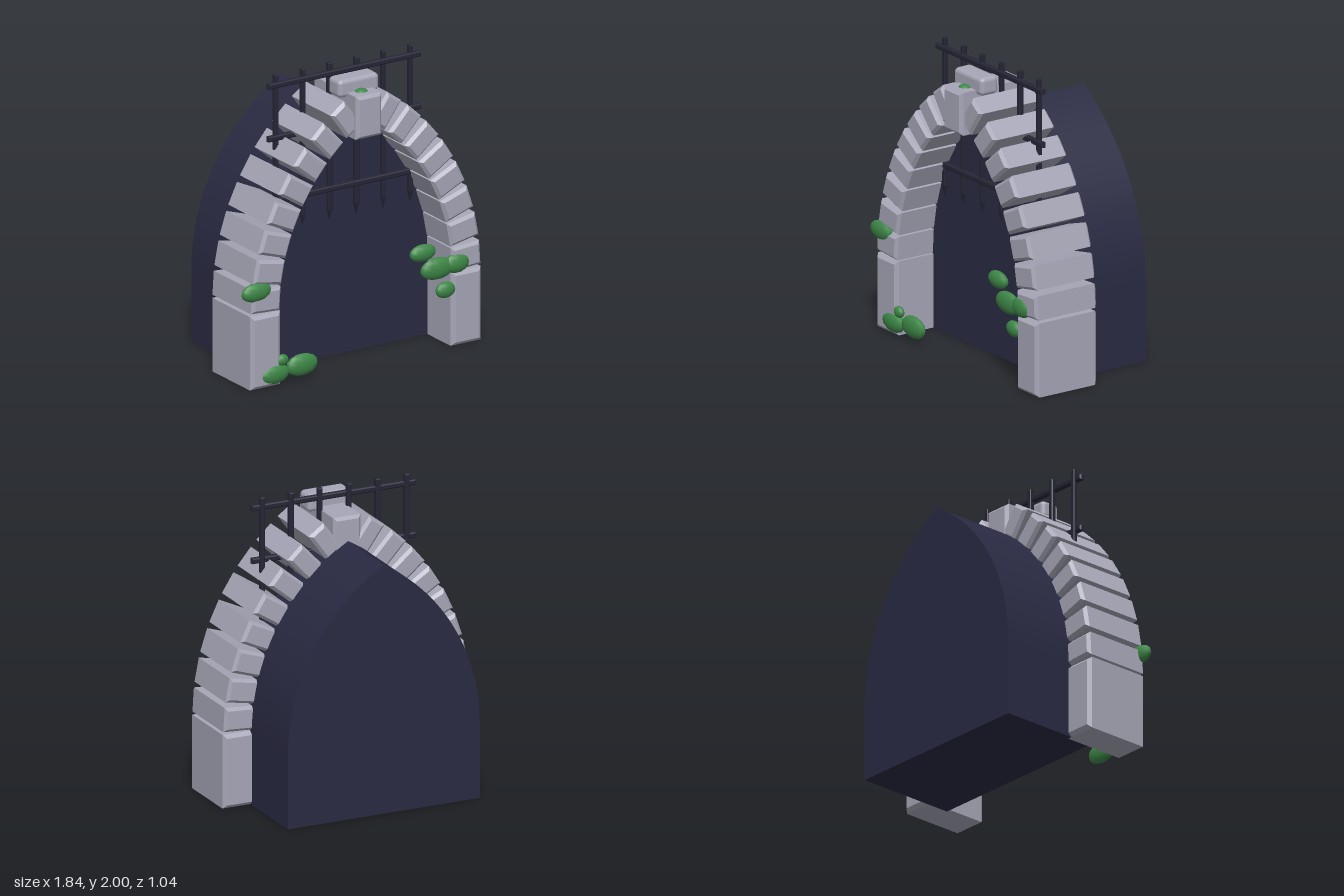
import * as THREE from 'three';
import { RoundedBoxGeometry } from 'three/addons/geometries/RoundedBoxGeometry.js';

const material = (name, color) => {
  const m = new THREE.MeshStandardMaterial({ color });
  m.name = name;
  return m;
};

// Box with a single flat chamfer on every edge, centred on the origin
function chamferedBox(w, h, d, c = 0.02) {
  const x = w / 2 - c, y = h / 2 - c;
  const s = new THREE.Shape();
  s.moveTo(-x, -y).lineTo(x, -y).lineTo(x, y).lineTo(-x, y).closePath();
  const g = new THREE.ExtrudeGeometry(s, {
    depth: d - 2 * c, bevelEnabled: true, bevelSegments: 1, bevelSize: c, bevelThickness: c,
  });
  return g.translate(0, 0, c - d / 2);
}

export function createModel() {
  const stone = material('stone', 0xa6a6b7);
  const dark = material('darkInterior', 0x292a42);
  const iron = material('iron', 0x252536);
  const moss = material('moss', 0x3e8848);
  const root = new THREE.Group();
  root.name = 'gateway';

  const CX = 0.034, SPRING = 0.5, DEPTH = 0.485;
  const add = (parent, name, geometry, mat, x, y, z) => {
    const m = new THREE.Mesh(geometry, mat);
    m.name = name;
    m.position.set(x, y, z);
    parent.add(m);
    return m;
  };

  // Solid dark passage with a pointed arch outline, reaching into the stone arch
  const half = 0.685, R = half * 2;
  const outline = new THREE.Shape();
  outline.moveTo(-half, 0).lineTo(half, 0).lineTo(half, SPRING);
  outline.absarc(-half, SPRING, R, 0, Math.PI / 3, false);
  outline.absarc(half, SPRING, R, Math.PI * 2 / 3, Math.PI, false);
  outline.closePath();
  const passage = new THREE.ExtrudeGeometry(outline, { depth: 0.71, bevelEnabled: false, curveSegments: 24 });
  add(root, 'passage', passage, dark, CX, 0, -0.52);

  // Stone jambs and the blocks of each side of the arch, narrowing to the top
  const arch = new THREE.Group();
  arch.name = 'stoneArch';
  root.add(arch);
  const jambGeo = chamferedBox(0.229, 0.5, DEPTH, 0.024);
  const arcCentre = 0.711, arcRadius = 1.479;
  for (let i = 0; i < 8; i++) {
    const blockGeo = chamferedBox(0.22, 0.162 - 0.0006 * i * i, DEPTH, 0.02);
    const a = THREE.MathUtils.degToRad(3.6 + 7.23 * i);
    for (const side of [-1, 1]) {
      const x = CX + side * (arcRadius * Math.cos(a) - arcCentre);
      const b = add(arch, 'archBlock', blockGeo, stone, x, SPRING + arcRadius * Math.sin(a), DEPTH / 2);
      b.rotation.z = side * a;
    }
  }
  add(arch, 'leftJamb', jambGeo, stone, CX + 0.769, 0.25, DEPTH / 2);
  add(arch, 'rightJamb', jambGeo, stone, CX - 0.769, 0.25, DEPTH / 2);
  add(arch, 'keystone', chamferedBox(0.195, 0.29, 0.52, 0.02), stone, CX, 1.705, 0.257);
  add(arch, 'capStone', new RoundedBoxGeometry(0.31, 0.122, 0.137, 3, 0.03), stone, CX, 1.877, 0.327);

  // Raised iron gate: square bars with pointed ends, and cross bars
  const gate = new THREE.Group();
  gate.name = 'portcullis';
  root.add(gate);
  const bar = chamferedBox(0.033, 1.0, 0.033, 0.005);
  const spike = new THREE.ConeGeometry(0.021, 0.08, 4, 1, false, Math.PI / 4)
    .rotateX(Math.PI).toNonIndexed();
  spike.computeVertexNormals();
  const rail = chamferedBox(1.168, 0.037, 0.037, 0.007);
  for (let i = 0; i < 6; i++) {
    const x = CX + (i - 2.5) * 0.206;
    add(gate, 'verticalBar', bar, iron, x, 1.5, 0.2);
    add(gate, 'barSpike', spike, iron, x, 0.965, 0.2);
  }
  for (const y of [1.932, 1.574, 1.147]) add(gate, 'crossBar', rail, iron, CX, y, 0.212);

  // Moss clumps: x, y, z, then radii
  const clumps = new THREE.Group();
  clumps.name = 'moss';
  root.add(clumps);
  const mossGeo = new THREE.SphereGeometry(1, 12, 8);
  [
    [-0.804, 0.661, 0.466, 0.115, 0.064, 0.038],
    [-0.667, 0.079, 0.468, 0.115, 0.066, 0.038],
    [-0.455, 0.102, 0.466, 0.122, 0.074, 0.038],
    [-0.608, 0.164, 0.47, 0.046, 0.038, 0.028],
    [0.471, 0.677, 0.466, 0.1, 0.058, 0.038],
    [0.582, 0.55, 0.466, 0.13, 0.074, 0.038],
    [0.73, 0.56, 0.469, 0.095, 0.067, 0.038],
    [0.645, 0.392, 0.466, 0.075, 0.054, 0.035],
    [CX, 1.835, 0.415, 0.05, 0.033, 0.045],
  ].forEach(([x, y, z, rx, ry, rz]) => {
    add(clumps, 'mossClump', mossGeo, moss, x, y, z).scale.set(rx, ry, rz);
  });

  return root;
}
